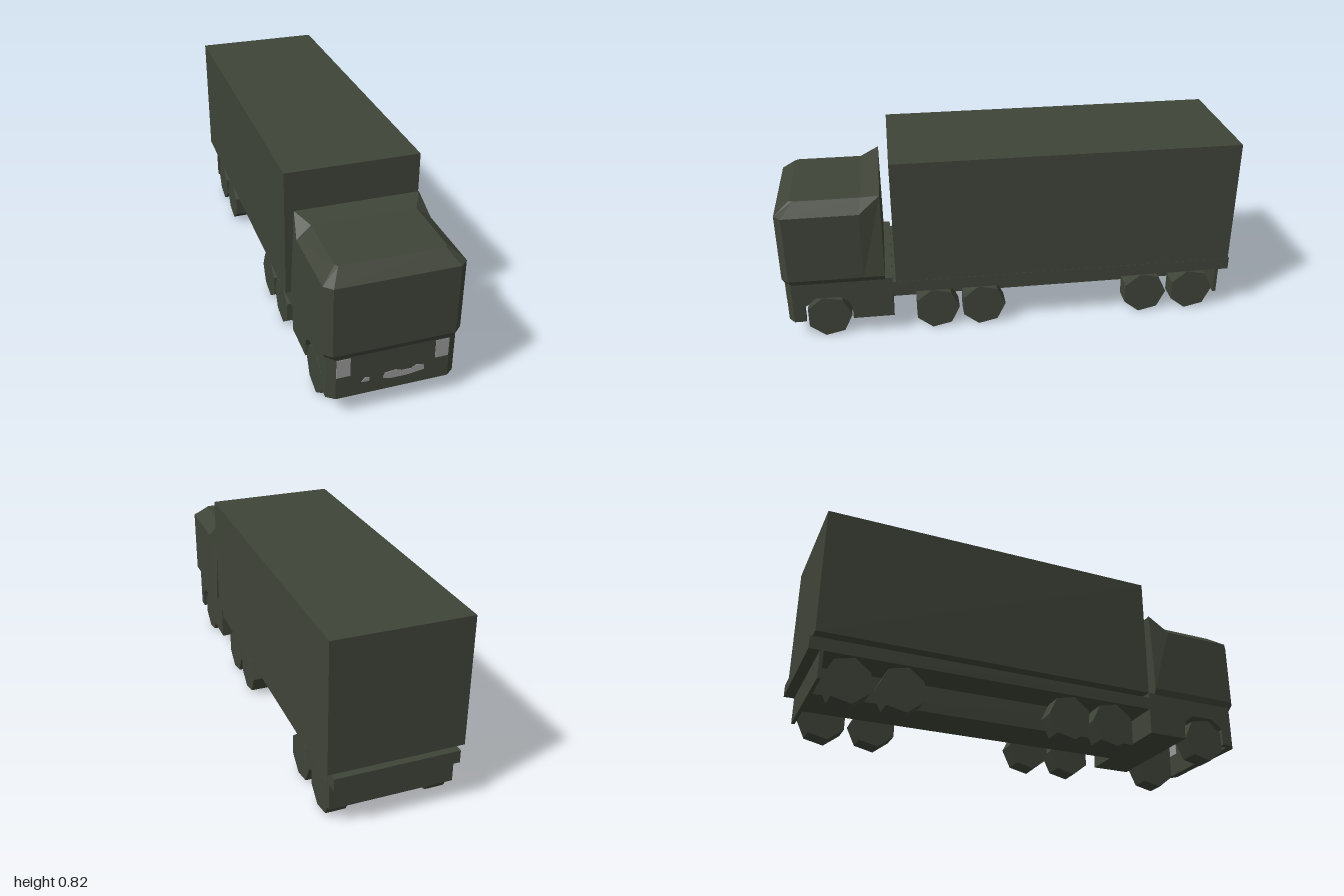
import * as THREE from 'three';

const CX = 0.004; // the cab sits slightly off the centre line

// Skin a stack of mirrored rings; each ring lists [halfWidth, y, z] from back to front
function loft(rings) {
  const loops = rings.map(r => [
    ...r.map(([w, y, z]) => [CX - w, y, z]),
    ...r.slice().reverse().map(([w, y, z]) => [CX + w, y, z]),
  ]);
  const n = loops[0].length, pos = [];
  const quad = (a, b, c, d) => pos.push(...a, ...b, ...c, ...a, ...c, ...d);
  for (let k = 0; k < loops.length - 1; k++) {
    const lo = loops[k], hi = loops[k + 1];
    for (let i = 0; i < n; i++) {
      const j = (i + 1) % n;
      quad(lo[i], lo[j], hi[j], hi[i]);
    }
  }
  const top = loops[loops.length - 1], bottom = loops[0];
  for (let i = 0; i < n / 2 - 1; i++) {
    quad(top[i], top[i + 1], top[n - 2 - i], top[n - 1 - i]);
    quad(bottom[n - 1 - i], bottom[n - 2 - i], bottom[i + 1], bottom[i]);
  }
  const g = new THREE.BufferGeometry();
  g.setAttribute('position', new THREE.Float32BufferAttribute(pos, 3));
  g.computeVertexNormals();
  return g;
}

export function createModel() {
  const truck = new THREE.Group();
  truck.name = 'truck';
  const olive = new THREE.MeshStandardMaterial({ color: 0x3f4438, flatShading: true });
  olive.name = 'olive paint';
  const grey = new THREE.MeshStandardMaterial({ color: 0x999999 });
  grey.name = 'grey lamps';

  const add = (name, geometry, material = olive) => {
    const mesh = new THREE.Mesh(geometry, material);
    mesh.name = name;
    truck.add(mesh);
    return mesh;
  };
  // Box given by its limits on each axis
  const box = (name, x0, x1, y0, y1, z0, z1, material) =>
    add(name, new THREE.BoxGeometry(x1 - x0, y1 - y0, z1 - z0), material)
      .position.set((x0 + x1) / 2, (y0 + y1) / 2, (z0 + z1) / 2);

  // Cargo body and chassis
  box('cargoBox', -0.284, 0.284, 0.268, 0.825, -0.985, 0.515);
  box('chassisTray', -0.26, 0.264, 0.2, 0.255, -1, 0.53);
  box('chassisBeam', -0.1, 0.104, 0.082, 0.2, -0.94, 0.53);
  box('rearPanel', -0.26, 0.264, 0.082, 0.2, -0.955, -0.94);
  box('cabRearBlock', -0.26, 0.268, 0.087, 0.28, 0.53, 0.71);

  // Upper cab with chamfered front corners and a raised rear roof edge
  const cabRing = (w, y, zf) => [
    [w, y, 0.56], [w, y, 0.65], [w, y, zf - 0.03], [w - 0.032, y, zf],
  ];
  const shoulder = cabRing(0.279, 0.605, 1);
  shoulder[0] = [0.262, 0.68, 0.56];
  const roof = [
    [0.262, 0.68, 0.56], [0.218, 0.655, 0.64], [0.218, 0.655, 0.92], [0.21, 0.655, 0.935],
  ];
  add('upperCab', loft([cabRing(0.265, 0.277, 0.99), cabRing(0.279, 0.302, 1), shoulder, roof]));

  // Lower front panel
  const panelRing = y => [[0.264, y, 0.955], [0.264, y, 0.965], [0.231, y, 0.99]];
  add('frontPanel', loft([panelRing(0.088), panelRing(0.28)]));

  // Lower cab sides with a cut wheel arch
  const side = new THREE.Shape([
    [0.96, 0.088], [0.96, 0.28], [0.71, 0.28], [0.71, 0.14], [0.722, 0.175], [0.76, 0.203],
    [0.865, 0.203], [0.915, 0.16], [0.915, 0.088],
  ].map(([z, y]) => new THREE.Vector2(z, y)));
  for (const [name, x] of [['leftCabSide', 0.268], ['rightCabSide', -0.23]]) {
    const g = new THREE.ExtrudeGeometry(side, { depth: 0.03, bevelEnabled: false });
    add(name, g.rotateY(-Math.PI / 2)).position.x = x;
  }

  // Headlamps, showing on both faces of the front panel
  for (const [name, x0, x1] of [['rightHeadlamp', -0.226, -0.17], ['leftHeadlamp', 0.176, 0.231]]) {
    box(name, x0, x1, 0.19, 0.273, 0.988, 0.992, grey);
    box(name + 'Back', x0, x1, 0.19, 0.273, 0.953, 0.957, grey);
  }

  // Worn grey patches on the bumper
  const patch = (name, pts) => {
    const s = new THREE.Shape(pts.map(([x, y]) => new THREE.Vector2(x, y)));
    add(name, new THREE.ExtrudeGeometry(s, { depth: 0.004, bevelEnabled: false }), grey)
      .position.z = 0.988;
  };
  patch('smallBumperPatch', [[-0.125, 0.147], [-0.095, 0.145], [-0.09, 0.16], [-0.11, 0.167]]);
  patch('largeBumperPatch', [
    [-0.037, 0.145], [-0.01, 0.136], [0.06, 0.136], [0.133, 0.146], [0.13, 0.17],
    [0.1, 0.176], [0.08, 0.163], [0.04, 0.163], [0.015, 0.173], [-0.03, 0.167],
  ]);

  // Seven-sided wheels, five pairs
  const wheel = new THREE.CylinderGeometry(0.1, 0.1, 0.086, 7).rotateY(Math.PI).rotateZ(Math.PI / 2);
  [0.815, 0.338, 0.13, -0.615, -0.835].forEach((z, i) => {
    for (const s of [-1, 1]) {
      add(`${s > 0 ? 'left' : 'right'}Wheel${i + 1}`, wheel).position.set(s * 0.213, 0.0975, z);
    }
  });

  return truck;
}
